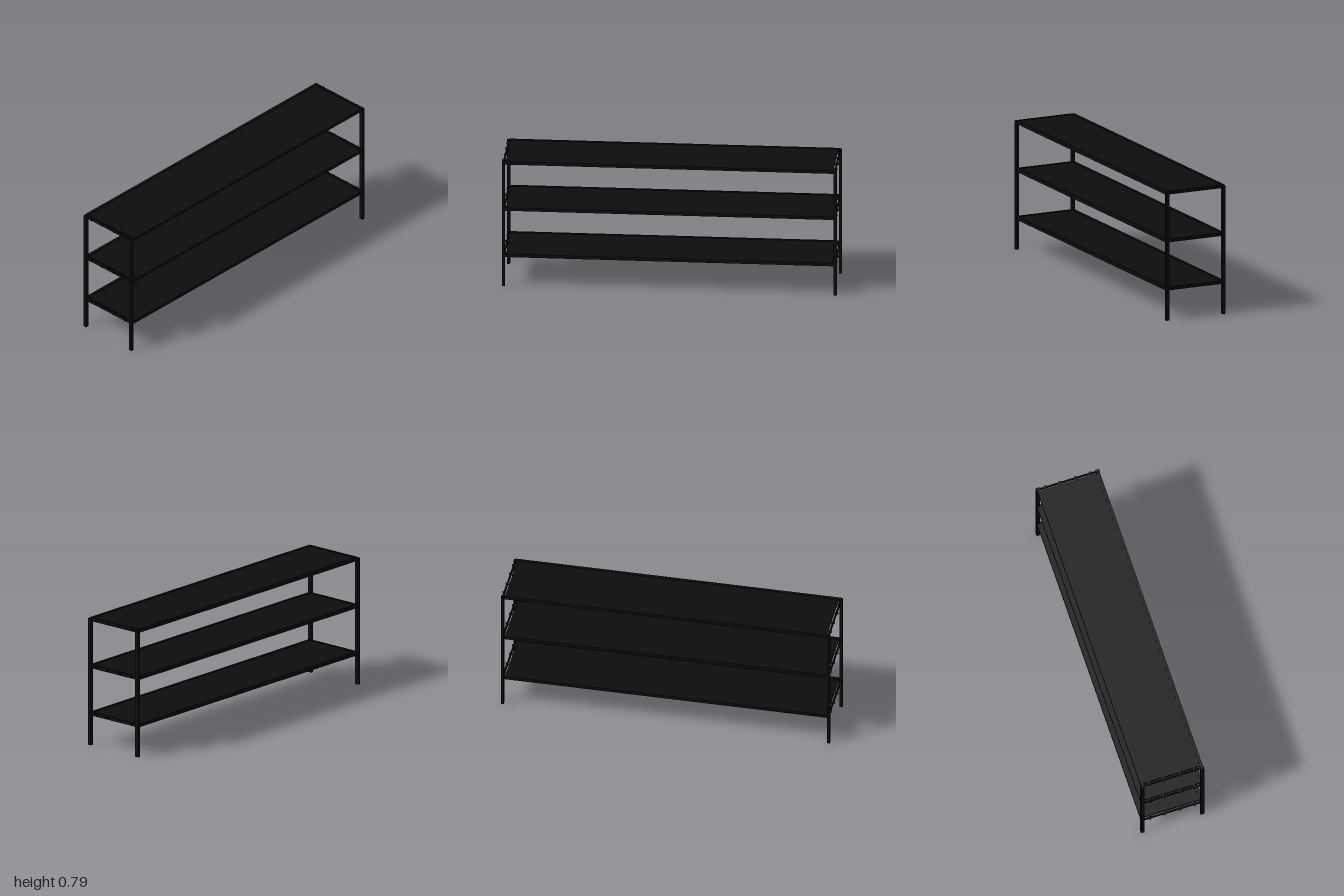
import * as THREE from 'three';

const black = new THREE.MeshStandardMaterial({ color: 0x0d0d0d });

function addBox(parent, name, [w, h, d], [x, y, z]) {
  const mesh = new THREE.Mesh(new THREE.BoxGeometry(w, h, d), black);
  mesh.name = name;
  mesh.position.set(x, y, z);
  parent.add(mesh);
}

// One tray: flat panel, long rails front and back, open end rails on short pegs
function createShelf(y) {
  const shelf = new THREE.Group();
  shelf.name = 'shelf';
  shelf.position.y = y;
  addBox(shelf, 'panel', [1.95, 0.014, 0.36], [0, 0, 0]);
  for (const s of [-1, 1]) {
    addBox(shelf, 'longRail', [1.98, 0.02, 0.018], [0, 0, s * 0.186]);
    addBox(shelf, 'endRail', [0.007, 0.02, 0.37], [s * 0.988, 0, 0]);
    for (const z of [-0.14, -0.05, 0.05, 0.14]) {
      const peg = new THREE.Mesh(new THREE.CylinderGeometry(0.007, 0.007, 0.03, 12), black);
      peg.name = 'peg';
      peg.rotation.z = Math.PI / 2;
      peg.position.set(s * 0.984, 0, z);
      shelf.add(peg);
    }
  }
  return shelf;
}

export function createModel() {
  const model = new THREE.Group();
  model.name = 'shelfUnit';

  // Four slender corner posts
  for (const x of [-0.99, 0.99]) {
    for (const z of [-0.187, 0.187]) {
      addBox(model, 'post', [0.018, 0.785, 0.022], [x, 0.3925, z]);
    }
  }

  // Three evenly spaced shelves
  for (const y of [0.193, 0.487, 0.78]) model.add(createShelf(y));

  return model;
}
